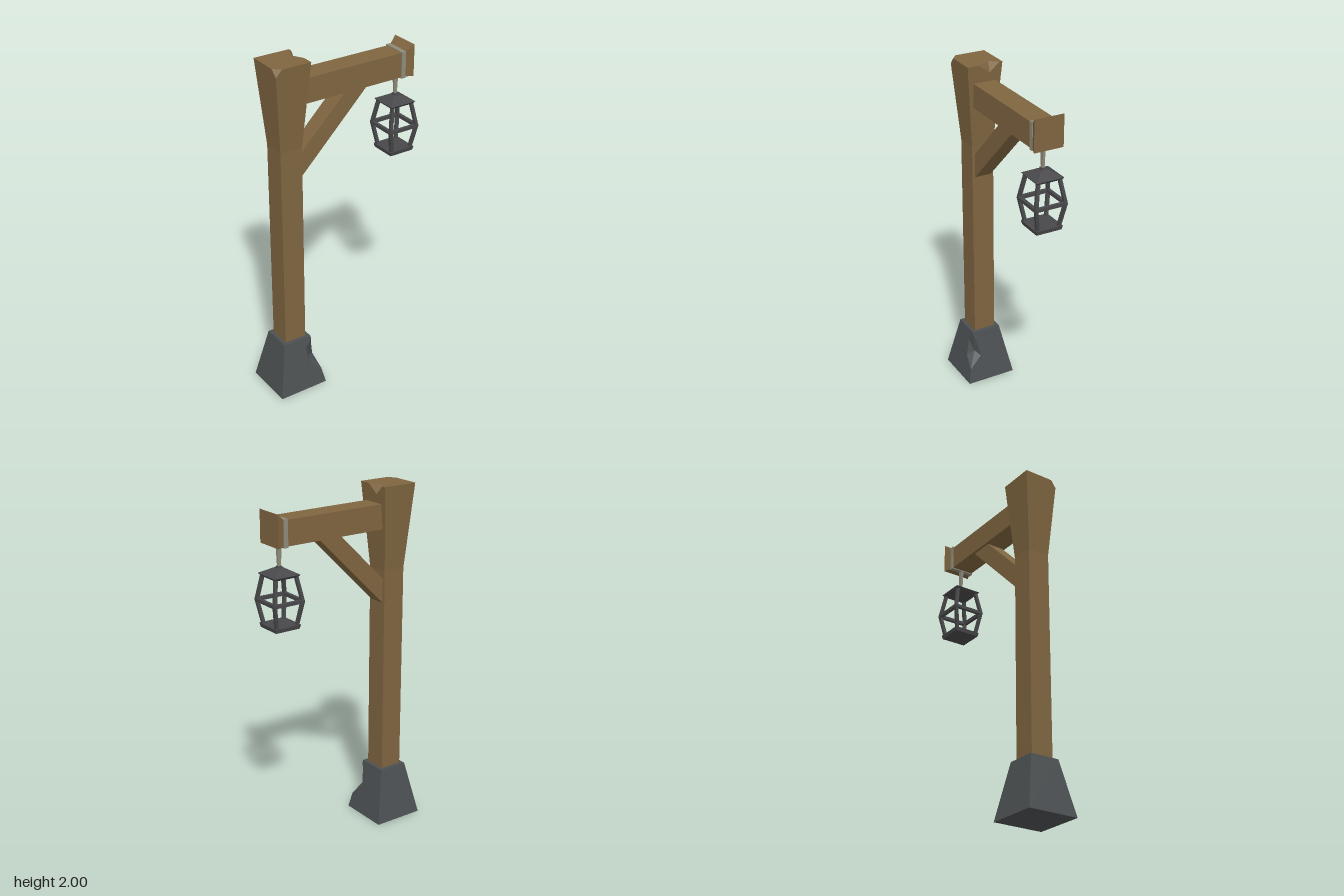
import * as THREE from 'three';

const material = (color, side = THREE.FrontSide) => new THREE.MeshStandardMaterial({ color, flatShading: true, side });
const wood = material(0x7f6540);
const stone = material(0x4c5052);
const iron = material(0x48484b);
const metal = material(0x8f8b7a);

const POST_X = -0.333;
const LAMP_X = 0.383;

function add(parent, name, geometry, mat) {
  const mesh = new THREE.Mesh(geometry, mat);
  mesh.name = name;
  parent.add(mesh);
  return mesh;
}

// Flat polygons, each fanned from its first corner (counter-clockwise from outside)
function polygons(faces) {
  const pos = [];
  for (const f of faces) {
    for (let i = 1; i < f.length - 1; i++) pos.push(...f[0], ...f[i], ...f[i + 1]);
  }
  const g = new THREE.BufferGeometry();
  g.setAttribute('position', new THREE.Float32BufferAttribute(pos, 3));
  g.computeVertexNormals();
  return g;
}

// Box between heights y0 and y1 with different half sizes at bottom and top
function taper(y0, y1, x0, z0, x1, z1) {
  const g = new THREE.BoxGeometry(2, 1, 2);
  const p = g.attributes.position;
  for (let i = 0; i < p.count; i++) {
    const top = p.getY(i) > 0;
    p.setXYZ(i, p.getX(i) * (top ? x1 : x0), top ? y1 : y0, p.getZ(i) * (top ? z1 : z0));
  }
  g.computeVertexNormals();
  return g;
}

// Square bar from a to b
function bar(parent, name, a, b, size) {
  const from = new THREE.Vector3(...a);
  const to = new THREE.Vector3(...b);
  const dir = to.clone().sub(from);
  const mesh = add(parent, name, new THREE.BoxGeometry(size, dir.length(), size), iron);
  mesh.position.copy(from).add(to).multiplyScalar(0.5);
  mesh.quaternion.setFromUnitVectors(new THREE.Vector3(0, 1, 0), dir.normalize());
}

// Tapered stone foot with a broken front corner
function footGeometry() {
  const h = (y) => 0.15 - 0.2 * y;
  const T = 0.315;
  const corner = (sx, sz, y) => [sx * h(y), y, sz * h(y)];
  const low = corner(1, 1, 0.09), high = corner(1, 1, 0.3);
  const f1 = [0.058, 0.15, h(0.15)], f2 = [0.048, 0.25, h(0.25)];
  const r1 = [h(0.16), 0.16, 0.055], r2 = [h(0.26), 0.26, 0.075];
  const dent = [0.078, 0.18, 0.078];
  const a = corner(-1, -1, 0), b = corner(-1, 1, 0), c = corner(1, 1, 0), d = corner(1, -1, 0);
  const A = corner(-1, -1, T), B = corner(-1, 1, T), C = corner(1, 1, T), D = corner(1, -1, T);
  return polygons([
    [b, c, low, f1, f2, high, C, B],
    [d, D, C, high, r2, r1, low, c],
    [a, b, B, A], [d, a, A, D], [A, B, C, D], [a, d, c, b],
    [dent, low, r1], [dent, r1, r2], [dent, r2, high],
    [dent, high, f2], [dent, f2, f1], [dent, f1, low],
  ]);
}

// Flared post head with a notch over the beam and a chipped front corner
function headGeometry() {
  const s = 0.066, t = 0.105, y = 1.52;
  const a = [-s, y, -s], b = [-s, y, s], c = [s, y, s], d = [s, y, -s];
  const A = [-t, 2, -t], C = [t, 2, t], D = [t, 2, -t];
  const n1 = [t, 2, -0.085], n2 = [t, 2, 0.04], inner = [0.063, 2, -0.04], dip = [0.101, 1.95, -0.03];
  const p1 = [-t, 2, 0.07], p2 = [-0.067, 2, t], chip = [-0.102, 1.96, 0.102];
  return polygons([
    [A, p1, p2, C, n2, inner, n1, D],
    [c, d, D, n1, dip, n2, C],
    [c, C, p2, chip, b],
    [a, b, chip, p1, A],
    [d, a, A, D],
    [n1, inner, dip], [inner, n2, dip], [chip, p2, p1],
  ]);
}

// Beam lofted along x, its tip flaring up and sideways
function beamGeometry() {
  const rings = [[-0.3, 1.9, 0.066], [0.39, 1.9, 0.066], [0.44, 1.94, 0.086]]
    .map(([x, top, z]) => [[x, 1.76, z], [x, 1.76, -z], [x, top, -z], [x, top, z]]);
  const faces = [[...rings[0]].reverse(), rings[2]];
  for (let i = 0; i < 2; i++) {
    for (let k = 0; k < 4; k++) {
      const n = (k + 1) % 4;
      faces.push([rings[i][k], rings[i][n], rings[i + 1][n], rings[i + 1][k]]);
    }
  }
  return polygons(faces);
}

function createLantern() {
  const g = new THREE.Group();
  g.name = 'lantern';
  add(g, 'hanger', taper(1.63, 1.765, 0.008, 0.006, 0.014, 0.008), metal);
  add(g, 'roofKnob', taper(1.63, 1.645, 0.016, 0.016, 0.012, 0.012), iron);
  add(g, 'roof', taper(1.602, 1.635, 0.081, 0.081, 0.022, 0.022), iron);
  add(g, 'roofRim', taper(1.588, 1.602, 0.07, 0.07, 0.081, 0.081), iron);
  add(g, 'floor', taper(1.305, 1.328, 0.075, 0.075, 0.08, 0.08), iron);
  // Four bent corner posts and the square ring at their widest point
  const m = 0.088, e = 0.063, y = 1.458;
  for (let i = 0; i < 4; i++) {
    const side = new THREE.Group();
    side.name = 'cageSide';
    side.rotation.y = i * Math.PI / 2;
    bar(side, 'upperPost', [e, 1.595, e], [m, y - 0.004, m], 0.018);
    bar(side, 'lowerPost', [e, 1.32, e], [m, y + 0.004, m], 0.018);
    bar(side, 'ringBar', [-m, y, m], [m, y, m], 0.019);
    g.add(side);
  }
  g.position.x = LAMP_X;
  return g;
}

export function createModel() {
  const model = new THREE.Group();
  model.name = 'lampPost';

  // Upright
  const upright = new THREE.Group();
  upright.name = 'upright';
  upright.position.x = POST_X;
  add(upright, 'stoneFoot', footGeometry(), stone);
  add(upright, 'post', taper(0.3, 1.52, 0.066, 0.066, 0.066, 0.066), wood);
  add(upright, 'postHead', headGeometry(), wood);
  model.add(upright);

  // Arm with diagonal brace
  add(model, 'beam', beamGeometry(), wood);
  const outline = [[-0.28, 1.32], [-0.27, 1.33], [0.16, 1.76], [0.16, 1.77], [0.02, 1.77], [0.02, 1.76], [-0.28, 1.46]];
  const shape = new THREE.Shape(outline.map(([x, y]) => new THREE.Vector2(x, y)));
  const braceGeometry = new THREE.ExtrudeGeometry(shape, { depth: 0.1, bevelEnabled: false });
  add(model, 'brace', braceGeometry.translate(0, 0, -0.05), wood);

  // Metal strap around the beam, carrying the lantern
  const strap = add(model, 'strap', new THREE.BoxGeometry(0.026, 0.152, 0.144), metal);
  strap.position.set(LAMP_X, 1.83, 0);
  model.add(createLantern());

  return model;
}
